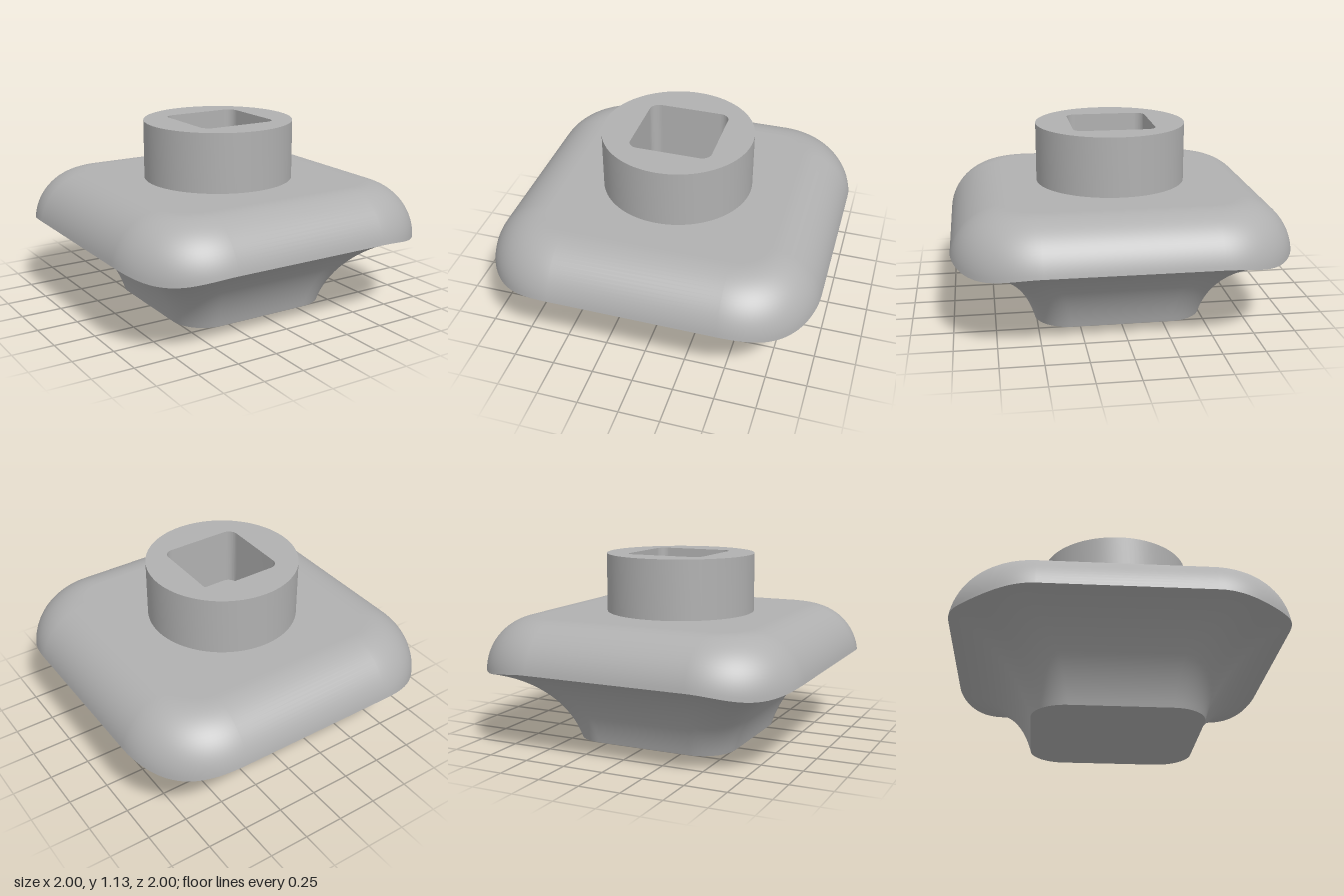
import * as THREE from 'three';
import { toCreasedNormals } from 'three/addons/utils/BufferGeometryUtils.js';

const CORNER = 24; // segments per rounded corner
const RIM_CORNER = 0.5; // corner centre of the upper outline
const FILLET = 0.324, FILLET_Y = 0.451, TOP_Y = 0.775;

// Height of the rim; it dips slightly at each corner.
const rimY = (a) => 0.5 - 0.04 * Math.sin(2 * a) ** 2;
const rimAngle = (a) => Math.asin((rimY(a) - FILLET_Y) / FILLET);
const rimRadius = (a) => 0.18 + FILLET * Math.cos(rimAngle(a));

// Lofts rounded-square rings; section(t, a) gives corner centre c, radius r and height y.
function loft(rows, section) {
  const pos = [], index = [], n = 4 * (CORNER + 1);
  for (let j = 0; j <= rows; j++) {
    for (let q = 0; q < 4; q++) {
      for (let k = 0; k <= CORNER; k++) {
        const a = (k / CORNER) * Math.PI / 2;
        const { c, r, y } = section(j / rows, a);
        const u = c + r * Math.cos(a), v = c + r * Math.sin(a);
        const [x, z] = [[u, v], [-v, u], [-u, -v], [v, -u]][q];
        pos.push(x, y, z);
      }
    }
  }
  for (let j = 0; j < rows; j++) {
    for (let i = 0; i < n; i++) {
      const p = j * n + i, s = j * n + (i + 1) % n;
      index.push(p, p + n, s, s, p + n, s + n);
    }
  }
  const g = new THREE.BufferGeometry();
  g.setAttribute('position', new THREE.Float32BufferAttribute(pos, 3));
  g.setIndex(index);
  g.computeVertexNormals();
  return g;
}

function roundedSquare(h, r) {
  const p = new THREE.Path(), c = h - r;
  p.absarc(c, c, r, 0, Math.PI / 2);
  p.absarc(-c, c, r, Math.PI / 2, Math.PI);
  p.absarc(-c, -c, r, Math.PI, Math.PI * 1.5);
  p.absarc(c, -c, r, Math.PI * 1.5, Math.PI * 2);
  p.closePath();
  return p;
}

export function createModel() {
  const group = new THREE.Group();
  const grey = new THREE.MeshStandardMaterial({ color: 0xb0b0b0 });
  grey.name = 'grey';
  const add = (name, geometry) => {
    const m = new THREE.Mesh(geometry, grey);
    m.name = name;
    group.add(m);
    return m;
  };

  // Flat underside
  add('base', loft(1, (t) => ({ c: 0.3 * t, r: 0.21 * t, y: 0 })));

  // Concave flare from the base to the rim
  const a0 = Math.PI / 12, sweep = Math.PI / 3;
  const span = Math.cos(a0) - Math.cos(a0 + sweep);
  add('flaredNeck', loft(24, (t, a) => {
    const ang = a0 + sweep * t;
    const out = (Math.cos(a0) - Math.cos(ang)) / span;
    const up = (Math.sin(ang) - Math.sin(a0)) / span;
    return {
      c: 0.3 + (RIM_CORNER - 0.3) * out,
      r: 0.21 + (rimRadius(a) - 0.21) * out,
      y: rimY(a) * up,
    };
  }));

  // Rounded cushion above the rim
  add('roundedBody', loft(20, (t, a) => {
    const th = rimAngle(a) + (Math.PI / 2 - rimAngle(a)) * t;
    return {
      c: RIM_CORNER,
      r: 0.18 + FILLET * Math.cos(th),
      y: FILLET_Y + FILLET * Math.sin(th),
    };
  }));

  // Flat top, also the floor of the socket
  add('topFace', loft(1, (t) => ({ c: RIM_CORNER * (1 - t), r: 0.18 * (1 - t), y: TOP_Y })));

  // Round boss with a square socket
  const ring = new THREE.Shape();
  ring.absarc(-0.01, 0, 0.46, 0, Math.PI * 2);
  ring.holes.push(roundedSquare(0.25, 0.06));
  const bossGeometry = new THREE.ExtrudeGeometry(ring, {
    depth: 0.36, bevelEnabled: false, curveSegments: 48,
  });
  bossGeometry.rotateX(-Math.PI / 2);
  add('socketBoss', toCreasedNormals(bossGeometry, 0.6)).position.y = TOP_Y;

  return group;
}
